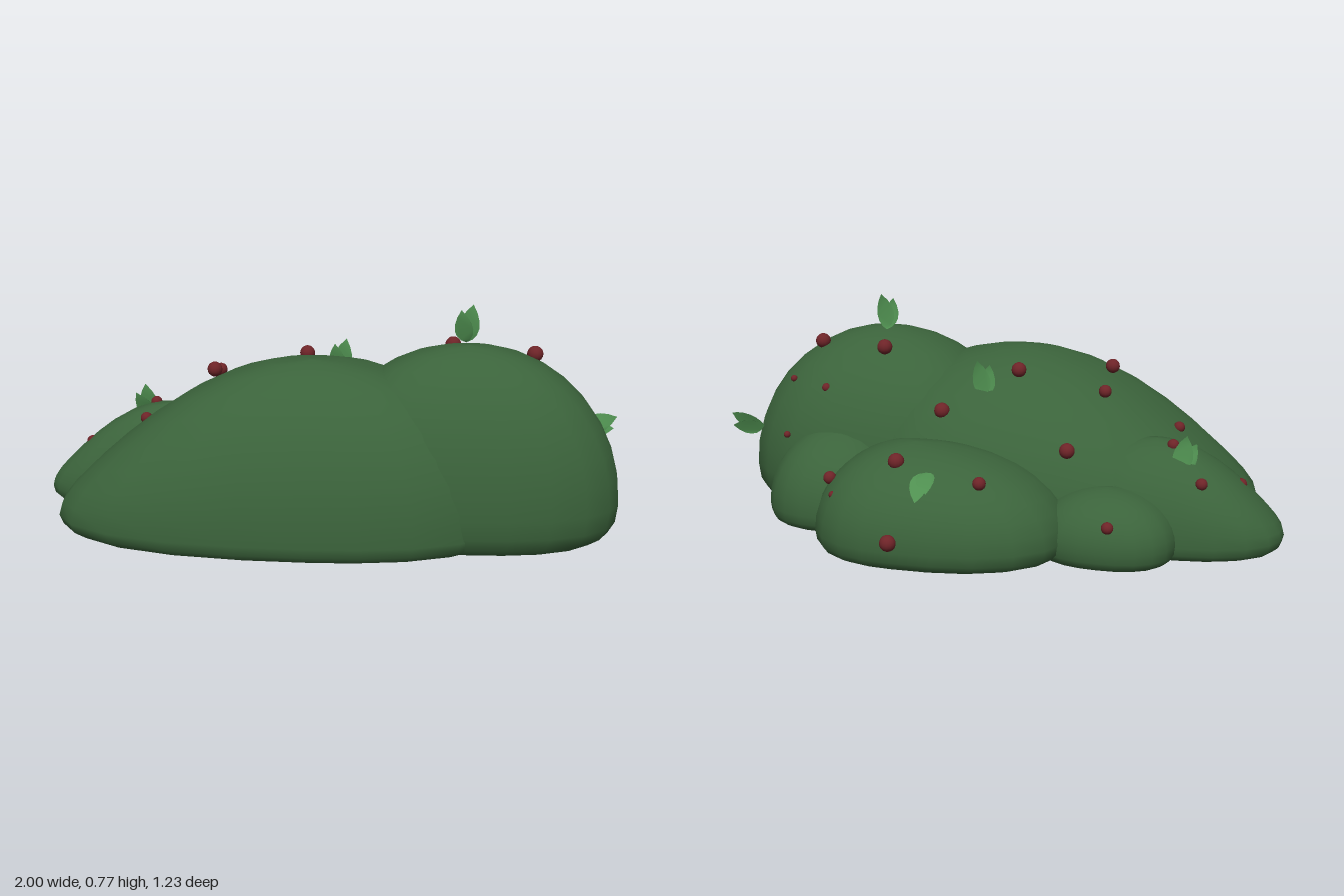
import * as THREE from 'three';

const green = new THREE.MeshStandardMaterial({ color: 0x3b633b });
const red = new THREE.MeshStandardMaterial({ color: 0x6e2428 });
const leafGreen = new THREE.MeshStandardMaterial({ color: 0x4f8f50, side: THREE.DoubleSide });
const COLS = 24, ROWS = 18;

// Lopsided dome: every half axis has its own radius, the underside is almost flat.
// taper lowers the height towards -x.
function lobe({ x, z, y, top, xn, xp, zn, zp, taper = 0 }) {
  const geo = new THREE.SphereGeometry(1, COLS, ROWS);
  const pos = geo.attributes.position;
  const v = new THREE.Vector3(), w = new THREE.Vector3();
  for (let i = 0; i < pos.count; i++) {
    v.fromBufferAttribute(pos, i);
    const flat = Math.hypot(v.x, v.z);
    if (flat > 1e-5) {
      // slightly squared footprint
      const p = 2.45;
      const c = Math.abs(v.x / flat), s = Math.abs(v.z / flat);
      const k = Math.pow(Math.pow(c, p) + Math.pow(s, p), -1 / p);
      v.x *= k;
      v.z *= k;
    }
    const drop = v.x < 0 ? 1 - taper * v.x * v.x : 1;
    const py = v.y >= 0
      ? y + (top - y) * v.y * drop
      : y - (y - 0.01) * (1 - Math.pow(1 + v.y, 3));
    pos.setXYZ(i, x + v.x * (v.x < 0 ? xn : xp), py, z + v.z * (v.z < 0 ? zn : zp));
  }
  geo.computeVertexNormals();
  // share normals across the sphere's seam
  const n = geo.attributes.normal;
  for (let r = 0; r <= ROWS; r++) {
    const a = r * (COLS + 1), b = a + COLS;
    v.fromBufferAttribute(n, a).add(w.fromBufferAttribute(n, b)).normalize();
    n.setXYZ(a, v.x, v.y, v.z);
    n.setXYZ(b, v.x, v.y, v.z);
  }
  return new THREE.Mesh(geo, green);
}

// One pointed leaflet along +y, cupped towards +z
function leafletGeometry() {
  const s = new THREE.Shape();
  s.moveTo(0, 0);
  s.bezierCurveTo(0.045, 0.025, 0.045, 0.08, 0, 0.13);
  s.bezierCurveTo(-0.045, 0.08, -0.045, 0.025, 0, 0);
  const geo = new THREE.ShapeGeometry(s, 6);
  const pos = geo.attributes.position;
  for (let i = 0; i < pos.count; i++) pos.setZ(i, Math.abs(pos.getX(i)) * 0.4);
  geo.computeVertexNormals();
  return geo;
}

// Two overlapping leaflets growing from a base point
function sprig(base, dir, side, geo) {
  const g = new THREE.Group();
  const yAxis = new THREE.Vector3(...dir).normalize();
  const zAxis = new THREE.Vector3(...side).cross(yAxis).normalize();
  const xAxis = new THREE.Vector3().crossVectors(yAxis, zAxis);
  g.setRotationFromMatrix(new THREE.Matrix4().makeBasis(xAxis, yAxis, zAxis));
  g.position.set(...base);
  for (const d of [-1, 1]) {
    const m = new THREE.Mesh(geo, leafGreen);
    m.name = 'leaflet';
    m.rotation.set(d * 0.1, 0, d * 0.15);
    m.scale.setScalar(d > 0 ? 0.9 : 1);
    g.add(m);
  }
  return g;
}

export function createModel() {
  const model = new THREE.Group();
  model.name = 'berryBush';

  // Foliage mounds
  const lobes = {
    mainMound: { x: -0.04, z: 0.26, y: 0.08, top: 0.607, xn: 0.855, xp: 0.65, zn: 0.55, zp: 0.355, taper: 0.55 },
    tallMound: { x: 0.47, z: 0.23, y: 0.15, top: 0.655, xn: 0.52, xp: 0.5, zn: 0.4, zp: 0.295 },
    rearSideMound: { x: 0.55, z: -0.05, y: 0.08, top: 0.35, xn: 0.26, xp: 0.255, zn: 0.27, zp: 0.2 },
    backMound: { x: 0.2, z: -0.28, y: 0.09, top: 0.375, xn: 0.53, xp: 0.335, zn: 0.31, zp: 0.25 },
    smallBackMound: { x: -0.44, z: -0.22, y: 0.08, top: 0.25, xn: 0.235, xp: 0.24, zn: 0.185, zp: 0.15 },
    lowSideMound: { x: -0.57, z: -0.03, y: 0.07, top: 0.375, xn: 0.435, xp: 0.34, zn: 0.23, zp: 0.175, taper: 0.55 },
  };
  for (const [name, p] of Object.entries(lobes)) {
    const m = lobe(p);
    m.name = name;
    model.add(m);
  }

  // Berries: x, y, z, radius
  const berries = [
    [0.69, 0.605, 0.12, 0.027], [0.42, 0.615, 0.035, 0.027], [-0.08, 0.57, 0.005, 0.026],
    [0.76, 0.485, 0.005, 0.012], [0.61, 0.475, -0.055, 0.016], [0.16, 0.44, -0.12, 0.027],
    [0.74, 0.31, -0.12, 0.012], [-0.3, 0.36, -0.215, 0.026], [0.22, 0.345, -0.425, 0.027],
    [0.47, 0.255, -0.385, 0.022], [0.43, 0.225, -0.465, 0.012], [0.195, 0.125, -0.59, 0.027],
    [-0.07, 0.305, -0.46, 0.022], [-0.47, 0.165, -0.38, 0.02], [-0.74, 0.27, -0.175, 0.02],
    [-0.63, 0.365, -0.07, 0.02], [-0.855, 0.23, -0.015, 0.02], [-0.38, 0.51, 0.02, 0.022],
    [-0.62, 0.365, 0.15, 0.02], [-0.37, 0.555, 0.21, 0.025],
  ];
  const berryGeo = new THREE.SphereGeometry(1, 14, 10);
  for (const [x, y, z, r] of berries) {
    const b = new THREE.Mesh(berryGeo, red);
    b.name = 'berry';
    b.position.set(x, y, z);
    b.scale.setScalar(r);
    model.add(b);
  }

  // Leaf pairs: base, growing direction, width direction
  const leafGeo = leafletGeometry();
  const sprigs = [
    [[0.46, 0.65, 0.165], [0, 1, 0.15], [1, 0, 0.1]],
    [[0.03, 0.48, -0.07], [0, 1, 0.15], [1, 0, 0.15]],
    [[0.87, 0.31, -0.03], [1, 0.15, -0.12], [0, 1, -0.35]],
    [[0.11, 0.325, -0.455], [-0.15, -0.42, -0.9], [1, 0, 0]],
    [[-0.66, 0.29, -0.15], [-0.35, 1, 0.3], [1, 0, 0]],
  ];
  for (const [base, dir, side] of sprigs) {
    const s = sprig(base, dir, side, leafGeo);
    s.name = 'leafPair';
    model.add(s);
  }
  return model;
}
